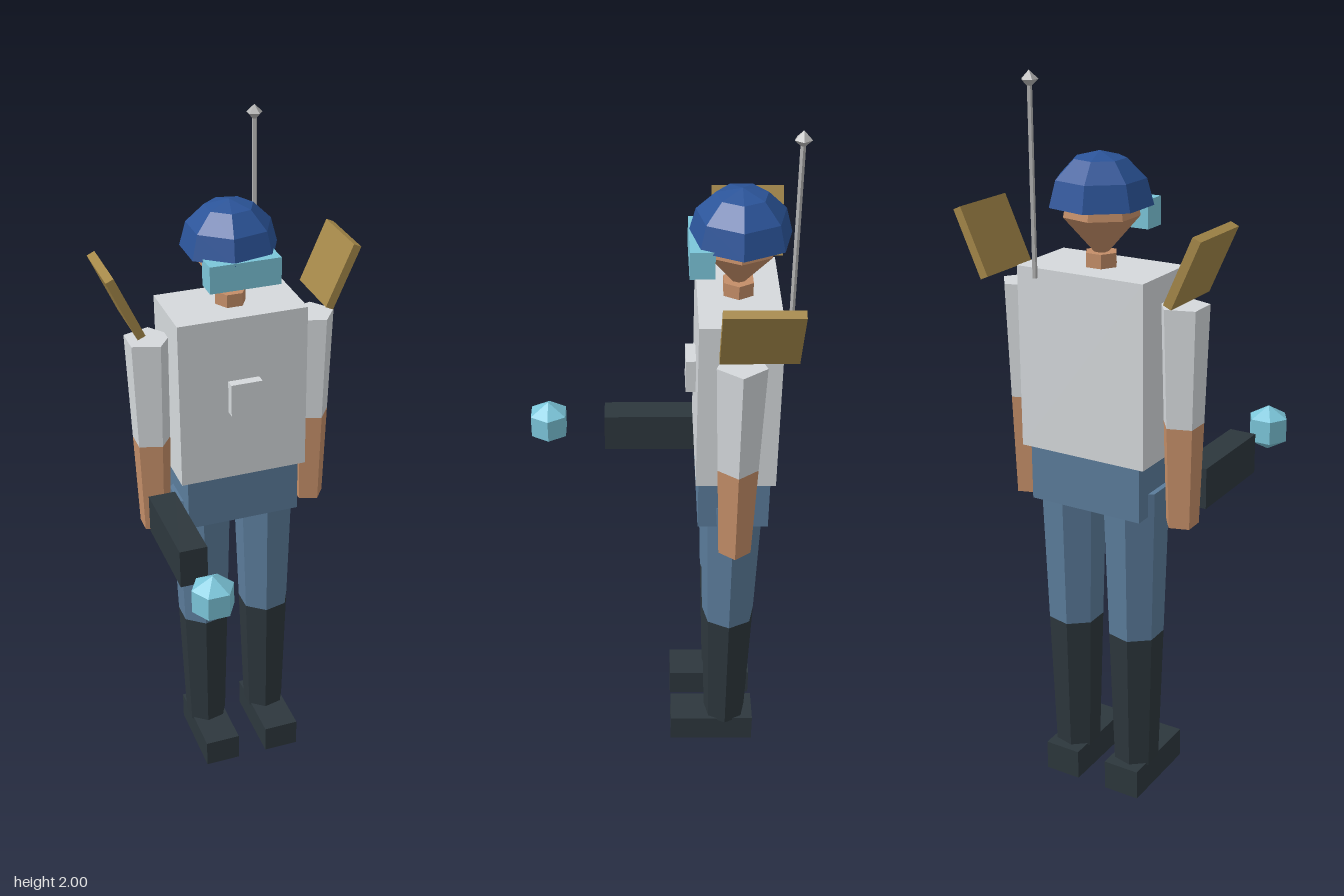
import * as THREE from 'three';

const mat = (name, color) => {
  const m = new THREE.MeshStandardMaterial({ color });
  m.name = name;
  return m;
};

export function createModel() {
  const shirt = mat('pale grey cloth', 0xd5d9dc);
  const skin = mat('skin', 0xc48e68);
  const denim = mat('blue trousers', 0x5b7c9b);
  const dark = mat('dark leather', 0x2d373d);
  const helmetBlue = mat('helmet blue', 0x2b5499);
  const cyan = mat('glowing cyan', 0x7cc6da);
  const tan = mat('tan panel', 0xa58849);
  const metal = mat('antenna metal', 0xb4b4b4);

  const model = new THREE.Group();
  model.name = 'figure';
  const BZ = -0.215; // depth of the body's axis

  // Faceted mesh: unshared corners give flat normals
  const add = (name, geometry, material, x, y, z) => {
    const g = geometry.index ? geometry.toNonIndexed() : geometry;
    g.computeVertexNormals();
    const mesh = new THREE.Mesh(g, material);
    mesh.name = name;
    mesh.position.set(x, y, z);
    model.add(mesh);
    return mesh;
  };
  // Box from its extents in y and z
  const box = (name, material, x, w, y0, y1, z0, z1) =>
    add(name, new THREE.BoxGeometry(w, y1 - y0, z1 - z0), material, x, (y0 + y1) / 2, (z0 + z1) / 2);
  // Turned solid with one corner towards +x; profile of [radius, y] from bottom to top
  const turned = (name, material, sides, profile, x, z) => {
    const pts = profile.map(([r, y]) => new THREE.Vector2(r, y));
    return add(name, new THREE.LatheGeometry(pts, sides).rotateY(Math.PI / 2), material, x, 0, z);
  };
  const limb = (name, material, sides, x, y0, r0, y1, r1) =>
    turned(name, material, sides, [[0, y0], [r0, y0], [r1, y1], [0, y1]], x, BZ);

  // Trunk
  box('torso', shirt, 0, 0.37, 1.02, 1.51, -0.324, -0.109);
  box('chestPlate', shirt, 0, 0.09, 1.23, 1.325, -0.115, -0.082);
  box('pelvis', denim, 0, 0.332, 0.865, 1.02, -0.311, -0.117);

  // Limbs and shoulder panels on both sides
  for (const [side, s] of [['left', 1], ['right', -1]]) {
    limb(side + 'Trouser', denim, 7, s * 0.098, 0.49, 0.0775, 0.93, 0.0915);
    limb(side + 'Boot', dark, 7, s * 0.098, 0.08, 0.064, 0.49, 0.0775);
    box(side + 'Foot', dark, s * 0.098, 0.106, 0, 0.087, -0.3, -0.049);
    limb(side + 'Sleeve', shirt, 5, s * 0.239, 1.125, 0.056, 1.44, 0.067);
    limb(side + 'Forearm', skin, 5, s * 0.239, 0.845, 0.046, 1.125, 0.056);
    const panel = box(side + 'ShoulderPanel', tan, s * 0.307, 0.024, 1.463, 1.653, -0.353, -0.157);
    panel.rotation.z = -s * 0.42;
  }

  // Head
  limb('neck', skin, 6, 0, 1.5, 0.044, 1.547, 0.044);
  turned('head', skin, 7, [[0, 1.525], [0.1, 1.64], [0.085, 1.72], [0, 1.75]], 0, BZ);
  box('goggles', cyan, 0, 0.198, 1.6, 1.675, -0.15, -0.086);

  // Helmet dome, closed underneath
  const dome = [[0, 1.667]];
  for (let i = 0; i <= 3; i++) {
    const a = (i / 3) * Math.PI / 2;
    dome.push([0.135 * Math.cos(a), 1.667 + 0.134 * Math.sin(a)]);
  }
  turned('helmet', helmetBlue, 7, dome, 0, -0.217);

  // Antenna with a faceted tip
  turned('antennaRod', metal, 5, [[0, 1.49], [0.007, 1.49], [0.007, 1.975], [0, 1.975]], 0.117, -0.344);
  turned('antennaTip', metal, 5, [[0, 1.956], [0.0225, 1.978], [0, 2]], 0.117, -0.344);

  // Hand blaster and the energy orb ahead of it
  box('blaster', dark, -0.235, 0.078, 0.866, 0.981, -0.146, 0.146);
  add('energyOrb', new THREE.SphereGeometry(0.067, 6, 3), cyan, -0.236, 0.94, 0.311);

  return model;
}
